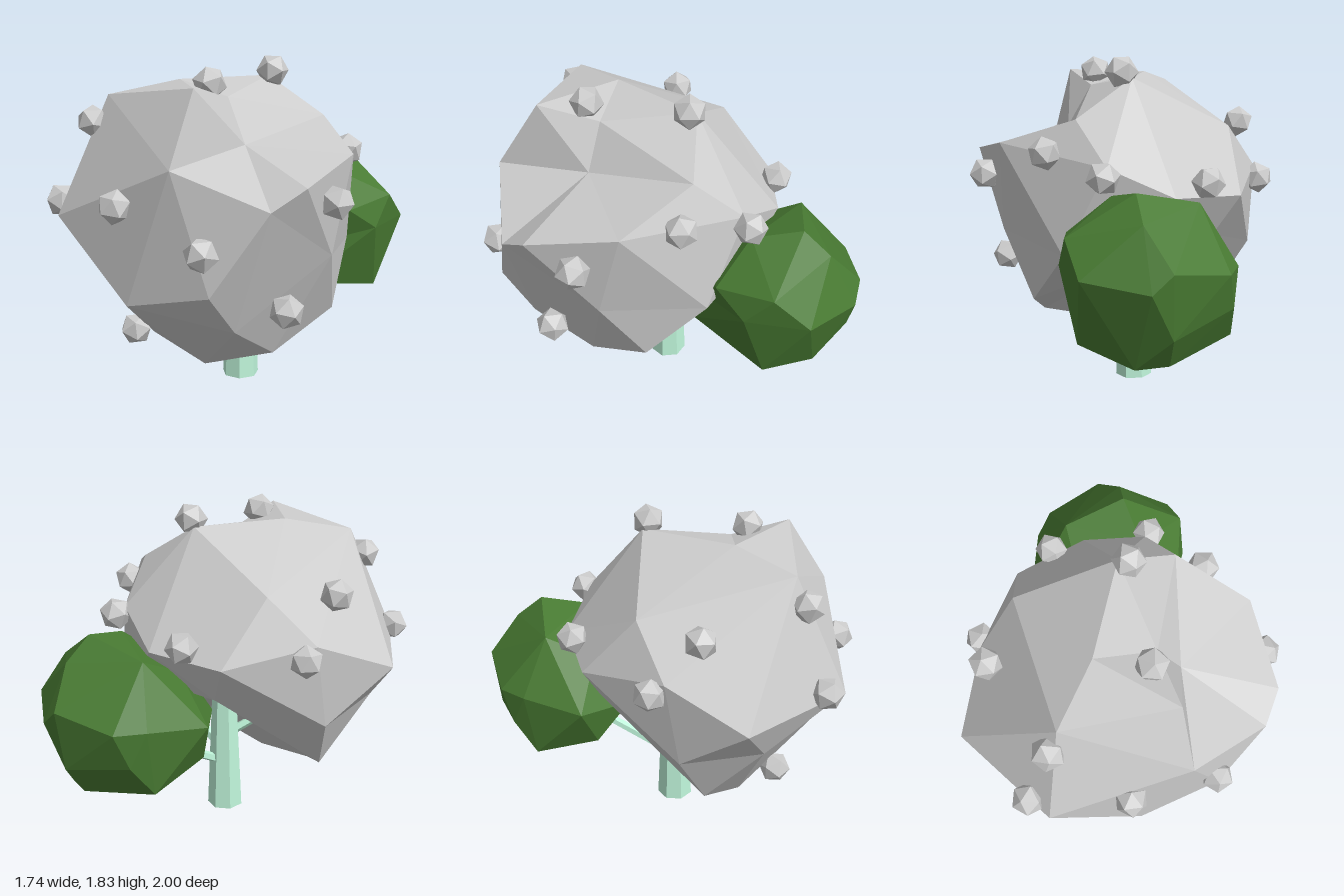
import * as THREE from 'three';
import { ConvexGeometry } from 'three/addons/geometries/ConvexGeometry.js';

const material = (color) => new THREE.MeshStandardMaterial({ color, flatShading: true });
const V = (p) => new THREE.Vector3(...p);

// Faceted lump: connect the corners by their direction from a centre, then
// push each one out to its own distance, so shallow dents are kept.
function facetedLump(centre, corners) {
  const c = V(centre);
  const points = corners.map(V);
  const dirs = points.map((p) => p.clone().sub(c).normalize());
  const geo = new ConvexGeometry(dirs);
  const pos = geo.attributes.position;
  const v = new THREE.Vector3();
  for (let i = 0; i < pos.count; i++) {
    v.fromBufferAttribute(pos, i);
    let best = 0;
    dirs.forEach((d, k) => {
      if (d.distanceToSquared(v) < dirs[best].distanceToSquared(v)) best = k;
    });
    pos.setXYZ(i, points[best].x, points[best].y, points[best].z);
  }
  geo.computeVertexNormals();
  return geo;
}

// Tapered limb between two points
function limb(from, to, r0, r1, sides) {
  const a = V(from), b = V(to);
  const dir = b.clone().sub(a);
  const mesh = new THREE.Mesh(new THREE.CylinderGeometry(r1, r0, dir.length(), sides));
  mesh.position.copy(a).add(b).multiplyScalar(0.5);
  mesh.quaternion.setFromUnitVectors(new THREE.Vector3(0, 1, 0), dir.normalize());
  return mesh;
}

export function createModel() {
  const model = new THREE.Group();
  const bark = material(0xbff5da);
  bark.side = THREE.DoubleSide;
  const grey = material(0xcccccc);
  const green = material(0x487a32);
  const add = (mesh, name, mat) => {
    mesh.name = name;
    mesh.material = mat;
    model.add(mesh);
    return mesh;
  };

  // Trunk, open at the foot
  const trunkGeo = new THREE.CylinderGeometry(0.06, 0.105, 1, 7, 1, true);
  trunkGeo.rotateY(Math.PI / 7 - 0.1);
  add(new THREE.Mesh(trunkGeo), 'trunk', bark).position.set(0.103, 0.5, 0.01);

  // Branches
  [
    [[0.12, 0.29, -0.01], [0.37, 0.63, -0.58]],
    [[0.12, 0.36, 0], [0.55, 0.72, 0.06]],
    [[0.09, 0.46, 0.01], [-0.25, 0.7, 0.2]],
  ].forEach(([from, to]) => add(limb(from, to, 0.028, 0.022, 5), 'branch', bark));

  // Main crown: top, front, sides, back, slanted underside
  const top = [
    [-0.44, 1.65, 0.5], [0.13, 1.72, 0.67], [-0.14, 1.72, 0.27], [0.2, 1.72, -0.14],
    [0.17, 1.65, 0.35], [0.29, 1.42, 0.41], [0.53, 1.52, -0.12], [-0.32, 1.45, -0.3],
  ];
  const front = [
    [-0.62, 1.04, 0.74], [0.11, 1.36, 0.9], [0.59, 1.19, 0.83], [0.72, 1.29, 0.7],
    [0.32, 0.77, 0.92], [-0.14, 0.66, 0.89], [0.38, 0.55, 0.75],
  ];
  const sides = [
    [-0.86, 1.02, 0.13], [-0.69, 0.78, 0.28], [-0.57, 1.2, -0.22], [0.8, 1.38, 0.23],
    [0.74, 0.88, 0.35], [0.66, 0.83, -0.2], [0.68, 0.52, 0.12],
  ];
  const back = [
    [0.5, 1.3, -0.38], [0.22, 1.15, -0.58], [-0.2, 1.12, -0.57], [0.42, 0.92, -0.4],
    [-0.1, 0.9, -0.46], [-0.6, 0.73, -0.15],
  ];
  const underside = [
    [0.07, 0.21, 0.43], [0.46, 0.34, 0.43], [-0.32, 0.28, 0.28], [-0.5, 0.41, 0.02],
    [0.15, 0.7, -0.06],
  ];
  add(new THREE.Mesh(facetedLump([0, 1, 0.15],
    [...top, ...front, ...sides, ...back, ...underside])), 'mainCrown', grey);

  // Small crown: upper, middle, lower
  const upper = [
    [0.52, 1.23, -0.68], [0.17, 1.15, -0.71], [0.5, 1.17, -0.42], [0.12, 1.02, -0.45],
    [0.57, 1.11, -0.82], [0.82, 1.02, -0.52], [0.66, 0.97, -0.24], [0.25, 0.97, -0.24],
  ];
  const middle = [
    [0.52, 0.91, -1], [0.18, 0.85, -0.98], [0.62, 0.82, -0.97], [0.85, 0.86, -0.71],
    [0.78, 0.85, -0.38], [-0.13, 0.8, -0.58], [0.05, 0.85, -0.87], [0.02, 0.75, -0.28],
    [0.42, 0.76, -0.14],
  ];
  const lower = [
    [0.5, 0.58, -0.97], [0.46, 0.42, -0.88], [0.6, 0.4, -0.79], [0.75, 0.47, -0.5],
    [0.42, 0.54, -0.14], [0.3, 0.48, -0.38], [0.25, 0.46, -0.65], [-0.04, 0.56, -0.48],
    [0.05, 0.48, -0.82], [0.12, 0.66, -0.93],
  ];
  add(new THREE.Mesh(facetedLump([0.38, 0.8, -0.57],
    [...upper, ...middle, ...lower])), 'smallCrown', green);

  // Fruits scattered over the main crown
  const fruitGeo = new THREE.IcosahedronGeometry(0.09);
  [
    [0.24, 1.75, -0.1], [0.1, 1.72, 0.42], [-0.51, 1.51, 0.54], [-0.59, 1.43, -0.04],
    [-0.68, 1.09, 0.61], [-0.21, 1.15, 0.86], [0.28, 0.98, 0.92], [0.79, 1.18, 0.46],
    [0.6, 0.65, 0.62], [-0.31, 0.38, 0.5], [0.68, 1.35, -0.06], [0.54, 1.26, -0.41],
    [0.02, 1.21, -0.58], [-0.54, 1.14, -0.29],
  ].forEach((p, i) => {
    const fruit = add(new THREE.Mesh(fruitGeo), 'fruit', grey);
    fruit.position.set(...p);
    fruit.rotation.set(i * 0.9, i * 1.7, 0);
  });

  return model;
}
